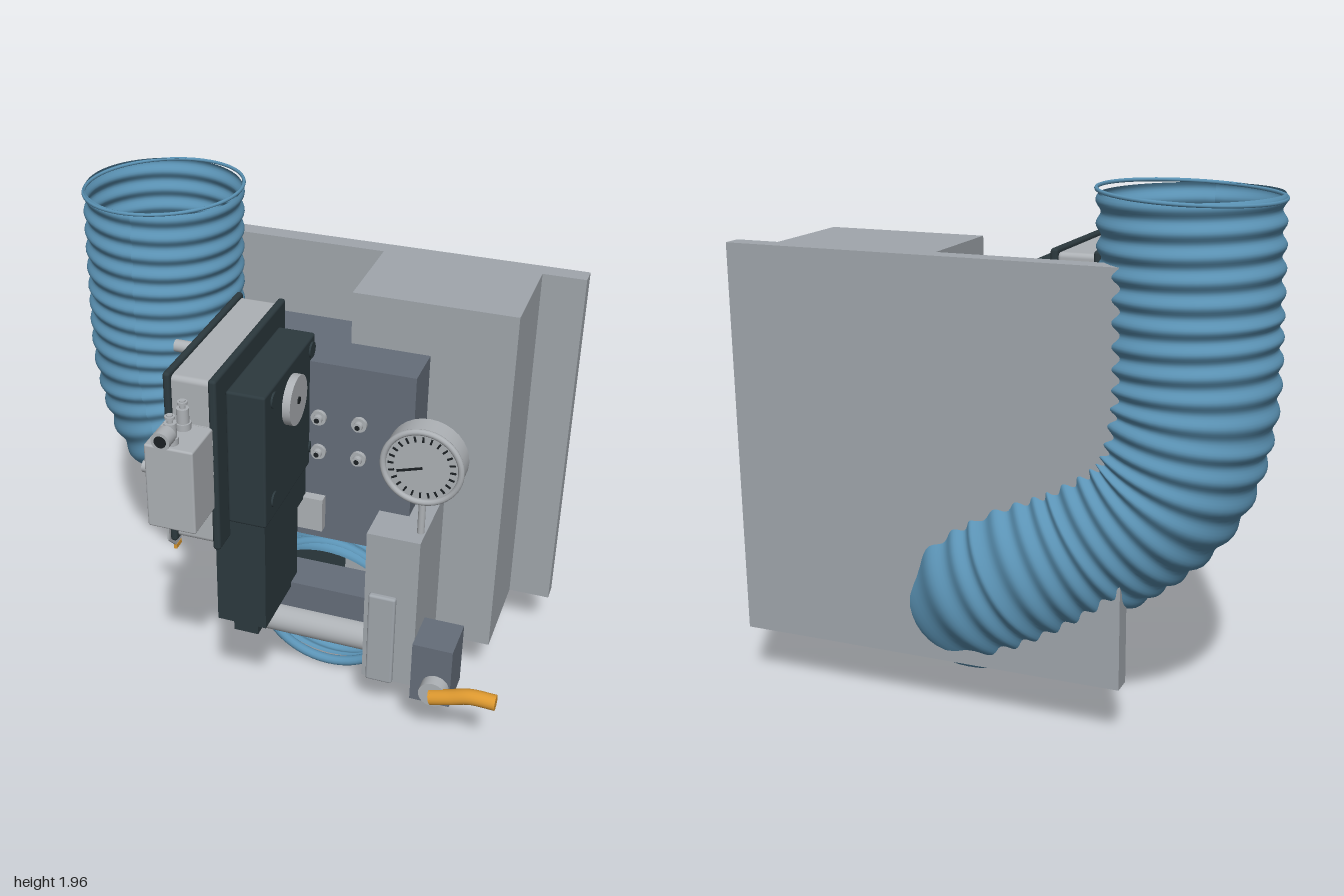
import * as THREE from 'three';
import { RoundedBoxGeometry } from 'three/addons/geometries/RoundedBoxGeometry.js';

export function createModel() {
  const model = new THREE.Group();
  model.name = 'ductControlUnit';
  const mat = (name, color, side = THREE.FrontSide) => {
    const m = new THREE.MeshStandardMaterial({ color, side });
    m.name = name;
    return m;
  };
  const blue = mat('ductBlue', 0x5b93b5, THREE.DoubleSide);
  const grey = mat('panelGrey', 0xa0a6ac);
  const silver = mat('lightMetal', 0xadb1b5);
  const slate = mat('slateGrey', 0x656e7a);
  const dark = mat('darkCasing', 0x2c393e);
  const black = mat('black', 0x1b2023);
  const orange = mat('orange', 0xdc982f);

  const add = (name, geo, material, x = 0, y = 0, z = 0) => {
    const m = new THREE.Mesh(geo, material);
    m.name = name;
    m.position.set(x, y, z);
    model.add(m);
    return m;
  };
  // box from its limits on each axis, optionally with rounded edges
  const box = (name, material, x0, x1, y0, y1, z0, z1, r = 0) => {
    const s = [x1 - x0, y1 - y0, z1 - z0];
    const geo = r ? new RoundedBoxGeometry(...s, 2, r) : new THREE.BoxGeometry(...s);
    return add(name, geo, material, (x0 + x1) / 2, (y0 + y1) / 2, (z0 + z1) / 2);
  };
  // cylinder along one axis, running from a to b; u and v are the other two coordinates in order
  const rod = (name, material, axis, r, a, b, u, v, r2 = r) => {
    const geo = new THREE.CylinderGeometry(r2, r, b - a, 32);
    const c = (a + b) / 2;
    if (axis === 'x') return add(name, geo.rotateZ(-Math.PI / 2), material, c, u, v);
    if (axis === 'z') return add(name, geo.rotateX(Math.PI / 2), material, u, v, c);
    return add(name, geo, material, u, c, v);
  };

  // back panel, main cabinet and slate casing
  box('backPanel', grey, -0.51, 1, 0.22, 1.72, -0.66, -0.585);
  box('mainCabinet', grey, 0.2, 0.83, 0.22, 1.72, -0.6, -0.18);
  box('slateCasing', slate, -0.24, 0.51, 0.73, 1.51, -0.36, 0.01);
  for (const x of [0.14, 0.3]) for (const y of [1.13, 1.28]) {
    rod('boltWasher', silver, 'z', 0.03, 0.01, 0.025, x, y);
    rod('boltHead', silver, 'z', 0.018, 0.02, 0.045, x, y);
    rod('boltSocket', black, 'z', 0.01, 0.044, 0.047, x, y);
  }

  // corrugated duct
  const path = new THREE.CatmullRomCurve3([
    [-0.657, 1.943, -0.41], [-0.664, 1.55, -0.41], [-0.655, 1.17, -0.41], [-0.575, 0.93, -0.41],
    [-0.36, 0.74, -0.43], [-0.09, 0.58, -0.46], [0.1, 0.46, -0.42], [0.16, 0.36, -0.25], [0.16, 0.33, -0.08],
  ].map((p) => new THREE.Vector3(...p)));
  const rings = 280, sides = 56, radius = 0.31;
  const duct = new THREE.TubeGeometry(path, rings, radius, sides, false);
  const p = duct.attributes.position, v = new THREE.Vector3();
  for (let i = 0; i <= rings; i++) {
    const c = path.getPointAt(i / rings);
    const scale = 1 + 0.028 * Math.sin(i / rings * Math.PI * 2 * 29);
    for (let j = 0; j <= sides; j++) {
      const k = i * (sides + 1) + j;
      v.fromBufferAttribute(p, k).sub(c).multiplyScalar(scale).add(c);
      p.setXYZ(k, v.x, v.y, v.z);
    }
  }
  duct.computeVertexNormals();
  add('duct', duct, blue);
  const topRim = add('ductTopRim', new THREE.TorusGeometry(0.316, 0.007, 8, 56), blue, -0.657, 1.943, -0.41);
  topRim.rotation.set(Math.PI / 2, 0.045, 0);
  add('ductMouthRing', new THREE.TorusGeometry(0.305, 0.021, 12, 56), blue, 0.16, 0.33, -0.095);
  rod('ductMouthPlate', dark, 'z', 0.285, -0.21, -0.2, 0.16, 0.335);

  // pedestal with cross bars and flange
  box('pedestal', grey, 0.39, 0.6, 0.22, 0.91, -0.18, 0.176);
  box('flange', grey, 0.41, 0.52, 0.22, 0.64, 0.17, 0.198, 0.01);
  box('crossBar', slate, -0.12, 0.41, 0.48, 0.6, 0, 0.17);
  rod('crossPipe', silver, 'x', 0.06, -0.11, 0.4, 0.36, 0.1);
  add('orangeTip', new THREE.OctahedronGeometry(0.024), orange, -0.17, 0.485, 0.2);

  // pressure gauge on its stem
  rod('gaugeStem', silver, 'y', 0.014, 0.9, 1.09, 0.58, 0.1);
  rod('gaugeBody', silver, 'z', 0.155, 0.055, 0.145, 0.58, 1.225);
  add('gaugeBezel', new THREE.TorusGeometry(0.148, 0.012, 10, 48), silver, 0.58, 1.225, 0.146);
  for (let i = 0; i < 24; i++) {
    const a = (i / 24) * Math.PI * 2;
    const tick = add('gaugeTick', new THREE.BoxGeometry(0.022, 0.007, 0.004), black,
      0.58 + 0.118 * Math.cos(a), 1.225 + 0.118 * Math.sin(a), 0.147);
    tick.rotation.z = a;
  }
  add('gaugeNeedle', new THREE.BoxGeometry(0.1, 0.009, 0.004), black, 0.535, 1.21, 0.149).rotation.z = 0.3;

  // valve box with bent orange lever
  box('valveBox', slate, 0.61, 0.77, 0.22, 0.49, 0.07, 0.25);
  rod('valveHub', silver, 'z', 0.055, 0.25, 0.3, 0.71, 0.305);
  const lever = new THREE.CatmullRomCurve3([[0.71, 0.3, 0.305], [0.78, 0.32, 0.305], [0.86, 0.345, 0.305], [0.96, 0.345, 0.305]]
    .map((q) => new THREE.Vector3(...q)));
  add('lever', new THREE.TubeGeometry(lever, 24, 0.031, 20, false), orange);
  rod('leverRoot', orange, 'x', 0.031, 0.705, 0.712, 0.3, 0.305).rotation.z = 0.28;
  rod('leverEnd', orange, 'x', 0.031, 0.954, 0.961, 0.345, 0.305);

  // instrument housing: metal core between two dark plates
  box('housingCore', silver, -0.23, -0.065, 1, 1.665, -0.12, 0.555, 0.02);
  box('housingBand', silver, -0.235, -0.06, 1.17, 1.49, 0.5, 0.57);
  box('leftPlate', dark, -0.242, -0.215, 0.985, 1.68, -0.13, 0.57, 0.012);
  box('rightPlate', dark, -0.075, -0.045, 0.985, 1.68, -0.13, 0.57, 0.012);
  box('instrumentBox', dark, -0.046, 0.1, 1.06, 1.6, -0.05, 0.485, 0.01);
  for (const z of [-0.005, 0.4]) for (const y of [1.14, 1.55])
    rod('coverScrew', dark, 'x', 0.03, 0.098, 0.107, y, z);
  rod('dialDisc', silver, 'x', 0.095, 0.1, 0.13, 1.46, 0.22);
  rod('dialCentre', black, 'x', 0.014, 0.128, 0.134, 1.46, 0.22);

  // wheels and pins on the far side of the housing
  const wheel = (y, z, r) => {
    rod('wheelBase', silver, 'x', r * 0.8, -0.27, -0.24, y, z);
    rod('wheelDisc', black, 'x', r, -0.302, -0.268, y, z);
    const rim = add('wheelRim', new THREE.TorusGeometry(r - 0.008, 0.016, 8, 40), black, -0.288, y, z);
    rim.rotation.y = Math.PI / 2;
  };
  wheel(1.41, 0.11, 0.145);
  wheel(1.13, 0.11, 0.085);
  wheel(1.18, 0.41, 0.035);
  for (const [y, z] of [[1.52, 0.08], [1.3, 0.14], [1.18, 0.41]]) {
    rod('pin', silver, 'x', 0.016, -0.33, -0.24, y, z);
    rod('pinHead', silver, 'x', 0.024, -0.41, -0.32, y, z);
  }

  // front solenoid block and its fittings
  box('solenoidBlock', silver, -0.238, -0.058, 1.17, 1.5, 0.57, 0.75, 0.008);
  for (const z of [0.605, 0.71]) {
    rod('fittingCollar', silver, 'y', 0.028, 1.5, 1.525, -0.153, z);
    rod('fittingBody', silver, 'y', 0.022, 1.52, 1.58, -0.153, z);
    rod('fittingStem', silver, 'y', 0.011, 1.57, 1.61, -0.153, z);
    rod('fittingCap', silver, 'y', 0.018, 1.595, 1.605, -0.153, z);
  }
  rod('sideFitting', silver, 'z', 0.034, 0.74, 0.795, -0.153, 1.55);
  rod('sideFittingNeck', silver, 'z', 0.02, 0.7, 0.75, -0.153, 1.55);
  rod('sideFittingBore', black, 'z', 0.022, 0.793, 0.797, -0.153, 1.55);

  // stepped dark column below the housing
  box('columnTop', dark, -0.08, 0.09, 0.92, 1.06, 0.02, 0.47);
  box('columnBody', dark, -0.11, 0.085, 0.58, 0.985, 0.1, 0.455);
  box('columnFoot', dark, -0.08, 0.02, 0.47, 0.6, 0.2, 0.37);

  // side bracket with hanging tab
  box('bracketBar', silver, -0.35, 0.17, 0.785, 0.93, 0, 0.05);
  box('bracketHead', silver, -0.35, -0.24, 0.785, 0.93, -0.11, 0.21);
  box('bracketBlock', silver, -0.43, -0.35, 0.79, 0.9, -0.04, 0.17);
  box('bracketTop', silver, -0.43, -0.24, 0.915, 0.93, -0.11, 0.21);
  const tab = new THREE.Shape([[0, 0.93], [0.17, 0.93], [0.17, 0.7], [0.11, 0.64], [0.06, 0.64], [0, 0.72]]
    .map((q) => new THREE.Vector2(...q)));
  add('hangingTab', new THREE.ExtrudeGeometry(tab, { depth: 0.008, bevelEnabled: false }).rotateY(-Math.PI / 2), silver, -0.422, 0, 0.03);
  box('tabTip', orange, -0.432, -0.42, 0.62, 0.64, 0.09, 0.14);

  return model;
}
